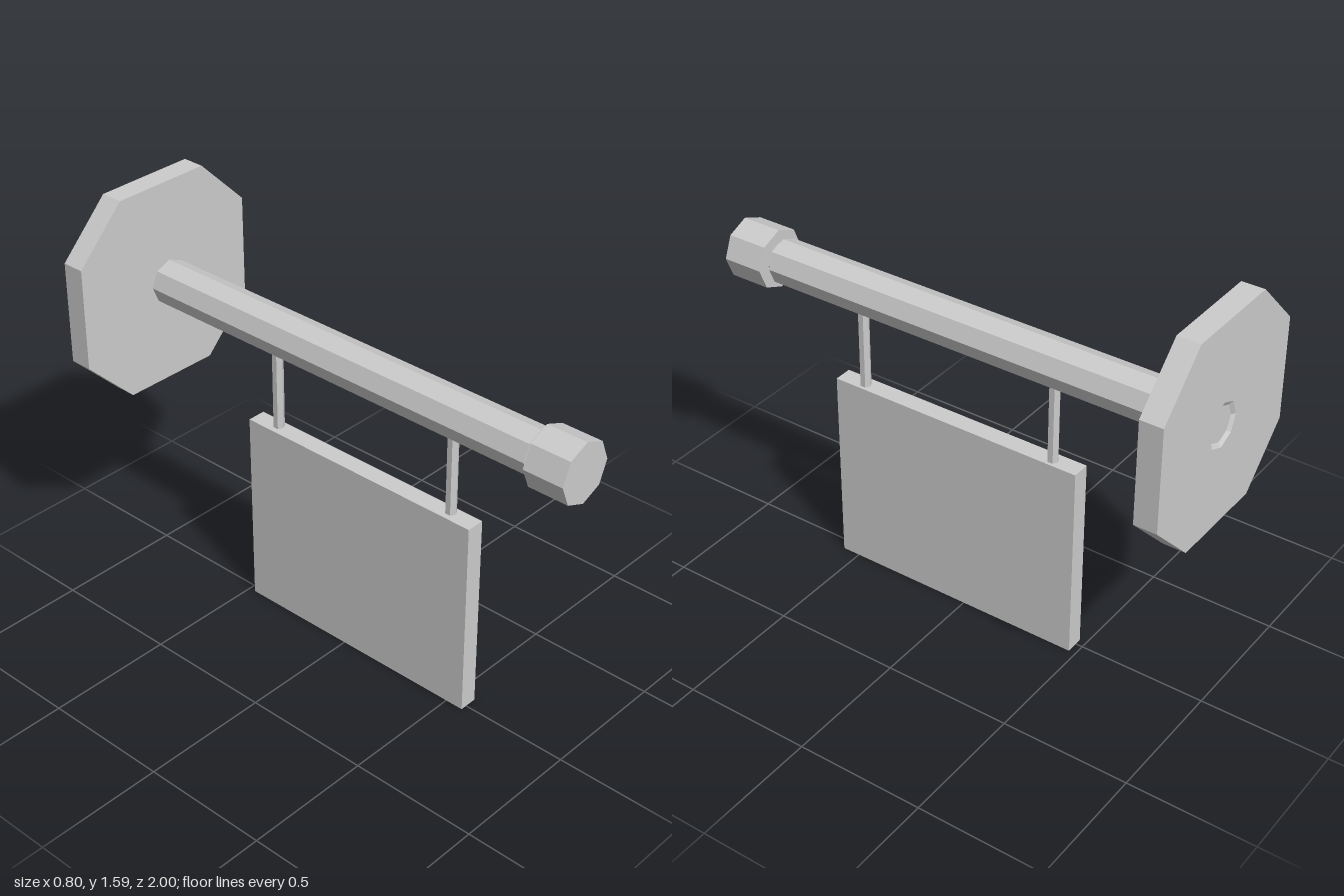
import * as THREE from 'three';

export function createModel() {
  const group = new THREE.Group();
  const material = new THREE.MeshStandardMaterial({ color: 0xcccccc, flatShading: true });
  const axisX = 0.016, axisY = 1.19;

  const add = (name, geometry, x, y, z) => {
    const mesh = new THREE.Mesh(geometry, material);
    mesh.name = name;
    mesh.position.set(x, y, z);
    group.add(mesh);
    return mesh;
  };

  // Eight-sided turned part lying along z, from [radius, z] pairs
  const turned = (profile) => new THREE.LatheGeometry(
    profile.map(([r, z]) => new THREE.Vector2(r, z)), 8).rotateX(Math.PI / 2);

  // Octagonal wall plate with a socket for the pole
  const plate = new THREE.Shape([
    [-0.2, -0.4], [0.2, -0.4], [0.4, -0.2], [0.4, 0.2],
    [0.2, 0.4], [-0.2, 0.4], [-0.4, 0.2], [-0.4, -0.2],
  ].map(([x, y]) => new THREE.Vector2(x, y)));
  const socket = [];
  for (let i = 0; i < 8; i++) {
    const a = -i * Math.PI / 4;
    socket.push(new THREE.Vector2(axisX + 0.0865 * Math.cos(a), 0.0865 * Math.sin(a)));
  }
  plate.holes.push(new THREE.Path(socket));
  add('wallPlate', new THREE.ExtrudeGeometry(plate, { depth: 0.088, bevelEnabled: false }), 0, axisY, -1);

  // Pole with a shallow recess in its rear end
  add('pole', turned([[0, -0.99], [0.07, -0.99], [0.0865, -1], [0.0865, 0.82], [0, 0.82]]), axisX, axisY, 0);

  // Narrow neck and wider end cap
  add('neck', turned([[0.066, 0.81], [0.066, 0.85]]), axisX, axisY, 0);
  add('endCap', turned([[0, 0.84], [0.117, 0.84], [0.117, 1], [0, 1]]), axisX, axisY, 0);

  // Hanging rods
  for (const [name, z] of [['frontRod', 0.46], ['backRod', -0.36]]) {
    add(name, new THREE.CylinderGeometry(0.0215, 0.0215, 0.35, 6), axisX, 0.955, z);
  }

  // Sign board
  add('signBoard', new THREE.BoxGeometry(0.072, 0.788, 1.045), 0.011, 0.394, 0.05);

  return group;
}
